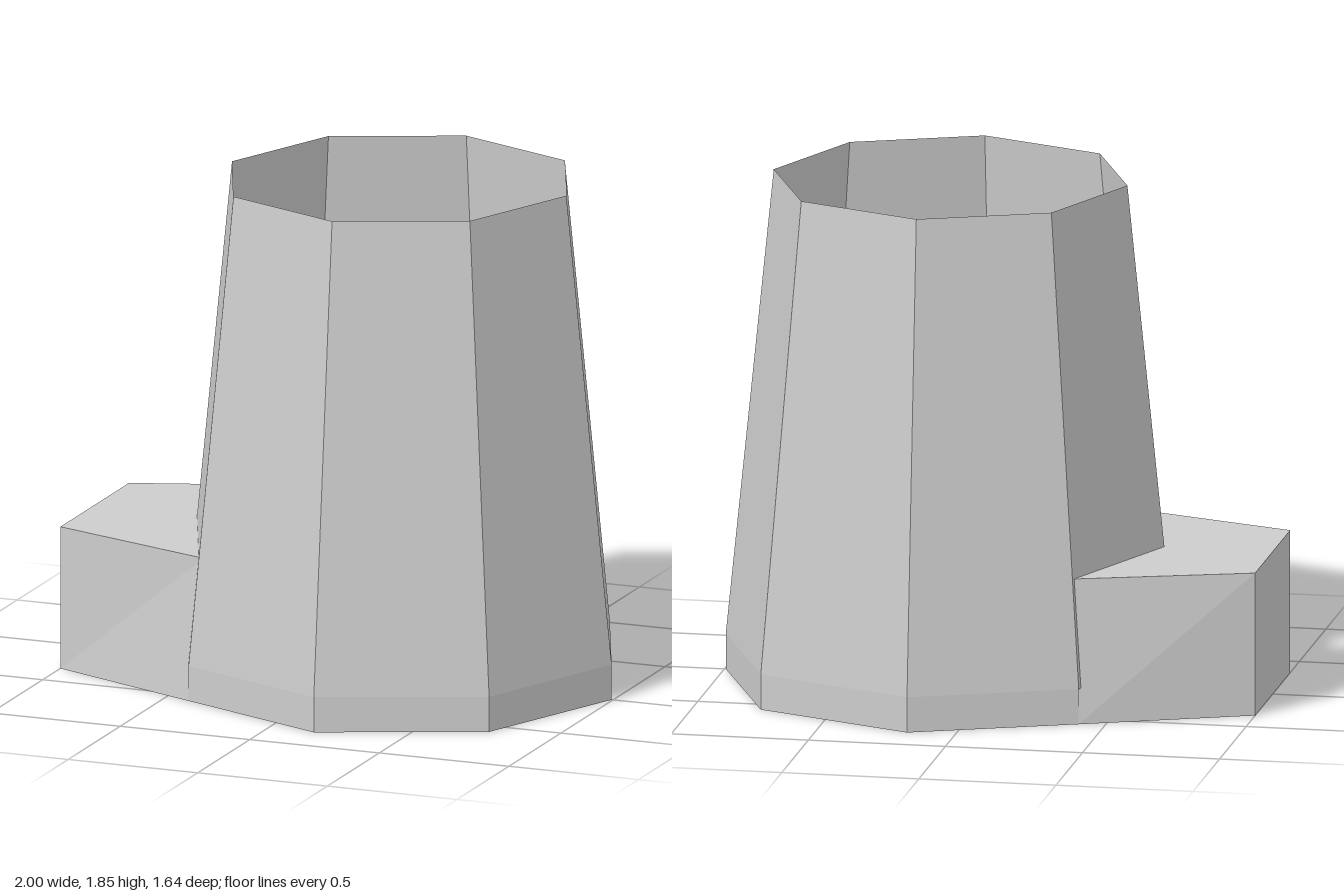
import * as THREE from 'three';

export function createModel() {
  const model = new THREE.Group();
  const stone = new THREE.MeshStandardMaterial({ color: 0xcccccc });
  stone.name = 'light grey';
  stone.side = THREE.DoubleSide;
  stone.flatShading = true;

  const axisX = 0.175, baseR = 0.82, topR = 0.645;
  const ringH = 0.13, height = 1.85;

  function add(name, geometry) {
    const mesh = new THREE.Mesh(geometry, stone);
    mesh.name = name;
    model.add(mesh);
    return mesh;
  }

  // Tapered eight-sided shell, open at both ends
  add('towerWall', new THREE.CylinderGeometry(topR, baseR, height - ringH, 8, 1, true))
    .position.set(axisX, (height + ringH) / 2, 0);

  // Upright footing, left open on the two sides facing the annex
  add('towerFooting', new THREE.CylinderGeometry(baseR, baseR, ringH, 6, 1, true,
    Math.PI * 1.75, Math.PI * 1.5)).position.set(axisX, ringH / 2, 0);

  // Annex: flat-topped wedge without a floor, running into the tower
  function quads(list) {
    const points = list.flatMap(([a, b, c, d]) => [a, b, c, a, c, d]).flat();
    const g = new THREE.BufferGeometry();
    g.setAttribute('position', new THREE.Float32BufferAttribute(points, 3));
    g.computeVertexNormals();
    return g;
  }
  const roofY = 0.525;
  const corners = (s) => ({
    outLow: [-1, 0, 0.33 * s],
    outTop: [-1, roofY, 0.33 * s],
    inLow: [-0.405, 0, 0.58 * s],
    inTop: [-0.36, roofY, 0.548 * s],
  });
  const f = corners(1), b = corners(-1);
  add('annexRoof', quads([[f.outTop, f.inTop, b.inTop, b.outTop]]));
  add('annexEnd', quads([[b.outLow, f.outLow, f.outTop, b.outTop]]));
  add('annexFrontWall', quads([[f.outLow, f.inLow, f.inTop, f.outTop]]));
  add('annexBackWall', quads([[b.outTop, b.inTop, b.inLow, b.outLow]]));

  return model;
}
